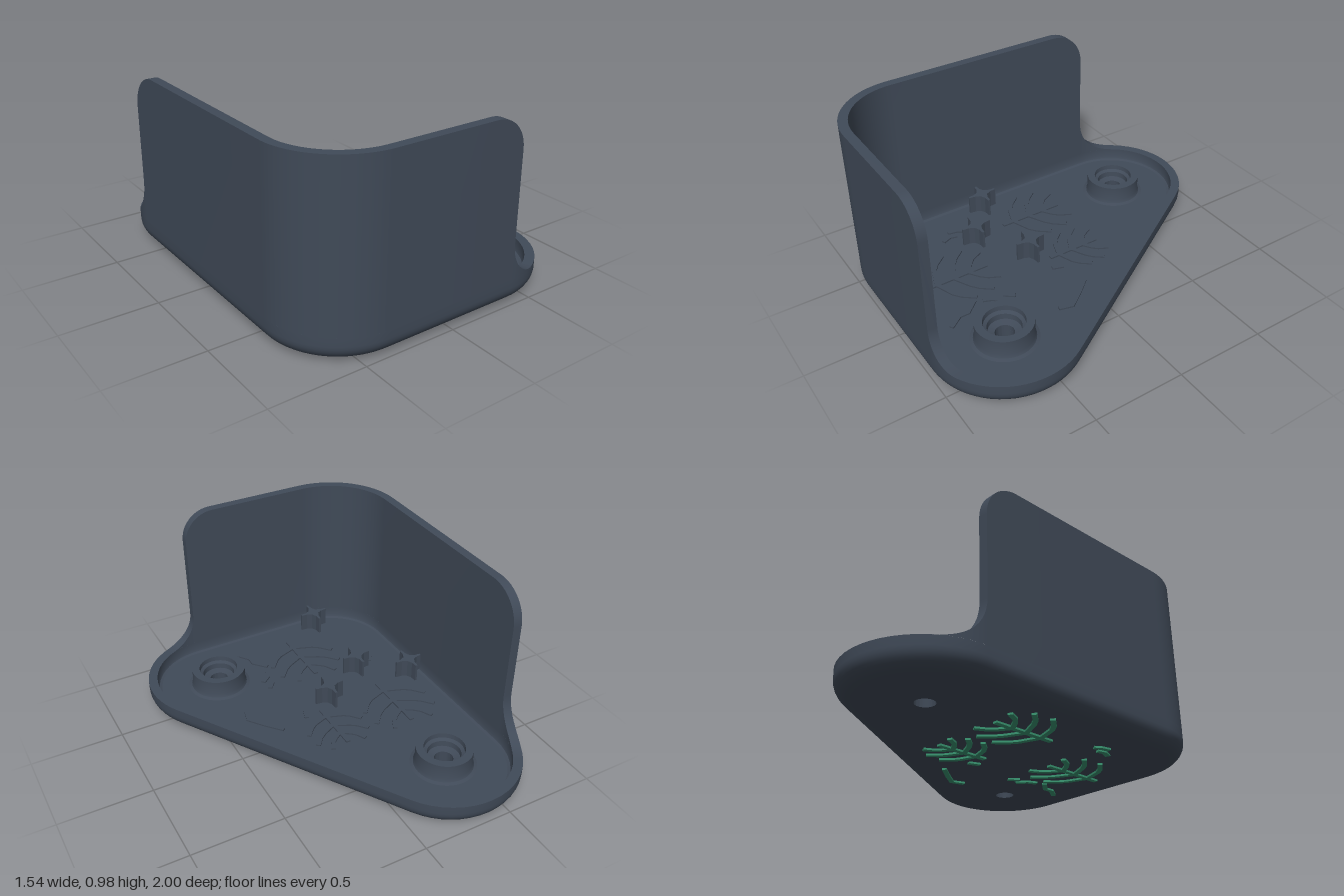
import * as THREE from 'three';
import { mergeGeometries, toCreasedNormals } from 'three/addons/utils/BufferGeometryUtils.js';

const PI = Math.PI;
const CENTRES = { back: [-0.37, -0.6], corner: [-0.37, 0.6], right: [0.37, 0.6] };
const R_OUT = 0.4, R_IN = 0.35;
const BOTTOM = 0.01, FLOOR = 0.07, RIM = 0.14, WALL_TOP = 0.98, BOSS_TOP = 0.175;

// Outline stations (centre + angle) around the three-cornered footprint
function outline() {
  const slant = Math.atan2(-0.74, 1.2), out = [], n = 20;
  const arc = (c, a, b) => {
    for (let i = 0; i <= n; i++) out.push({ cx: c[0], cz: c[1], a: a + (b - a) * i / n });
  };
  arc(CENTRES.right, slant, PI / 2);
  arc(CENTRES.corner, PI / 2, PI);
  arc(CENTRES.back, PI, 2 * PI + slant);
  return out;
}

const at = (s, r, y) => new THREE.Vector3(s.cx + r * Math.cos(s.a), y, s.cz + r * Math.sin(s.a));

// Skin a stack of rings; each ring follows the outline
function loft(rings, closed) {
  const pos = [], n = rings[0].length;
  const put = (...vs) => vs.forEach(v => pos.push(v.x, v.y, v.z));
  for (let j = 0; j < rings.length - 1; j++) {
    for (let i = 0; i < (closed ? n : n - 1); i++) {
      const k = (i + 1) % n;
      const a = rings[j][i], b = rings[j][k], c = rings[j + 1][i], d = rings[j + 1][k];
      put(a, c, b, b, c, d);
    }
  }
  const g = new THREE.BufferGeometry();
  g.setAttribute('position', new THREE.Float32BufferAttribute(pos, 3));
  return toCreasedNormals(g, 0.6);
}

// Flat plate with the two screw holes, facing up (1) or down (-1)
function plate(r, y, facing) {
  const shape = new THREE.Shape(outline().map(s => {
    const p = at(s, r, 0);
    return new THREE.Vector2(p.x, -facing * p.z);
  }));
  for (const [x, z] of [CENTRES.back, CENTRES.right]) {
    shape.holes.push(new THREE.Path().absarc(x, -facing * z, 0.05, 0, 2 * PI, true));
  }
  return new THREE.ShapeGeometry(shape, 16).rotateX(-facing * PI / 2).translate(0, y, 0);
}

// Wall height near a free end: d > 0 lies beyond the end, on the round corner
function endProfile(fillet, round) {
  const list = [], n = 12;
  for (let i = 0; i <= n; i++) {
    const t = i / n * PI / 2;
    list.push([fillet * (1 - Math.sin(t)), RIM + fillet * (1 - Math.cos(t))]);
  }
  for (let i = 0; i <= n; i++) {
    const t = i / n * PI / 2;
    list.push([-round * (1 - Math.cos(t)), WALL_TOP - round * (1 - Math.sin(t))]);
  }
  return list;
}

function wallGeometry() {
  const st = [];
  for (const [d, h] of endProfile(0.18, 0.17)) {
    st.push({ cx: 0.37 + Math.min(d, 0), cz: 0.6, a: PI / 2 - Math.asin(Math.max(d, 0) / R_OUT), h });
  }
  for (let i = 0; i <= 24; i++) st.push({ cx: -0.37, cz: 0.6, a: PI / 2 * (1 + i / 24), h: WALL_TOP });
  for (const [d, h] of endProfile(0.23, 0.19).reverse()) {
    st.push({ cx: -0.37, cz: -0.6 - Math.min(d, 0), a: PI + Math.asin(Math.max(d, 0) / R_OUT), h });
  }
  return loft([
    st.map(s => at(s, R_OUT, RIM)), st.map(s => at(s, R_OUT, s.h)),
    st.map(s => at(s, R_IN, s.h)), st.map(s => at(s, R_IN, RIM)),
  ], false);
}

function extrudeUp(points, y0, y1) {
  const shape = new THREE.Shape(points.map(p => new THREE.Vector2(p[0], p[1])));
  return new THREE.ExtrudeGeometry(shape, { depth: y1 - y0, bevelEnabled: false })
    .rotateX(PI / 2).translate(0, y1, 0);
}

// Bent twig of constant width along a short path in x, z
function twig(path, width, y0, y1) {
  const left = [], right = [];
  path.forEach((p, i) => {
    const a = path[Math.max(i - 1, 0)], b = path[Math.min(i + 1, path.length - 1)];
    const dx = b[0] - a[0], dz = b[1] - a[1], k = width / 2 / Math.hypot(dx, dz);
    left.push([p[0] - dz * k, p[1] + dx * k]);
    right.unshift([p[0] + dz * k, p[1] - dx * k]);
  });
  return extrudeUp([...left, ...right], y0, y1);
}

// All twig paths: three little trees and some loose sprigs
function twigPaths() {
  const paths = [
    [[0.35, 0.27], [0.37, 0.2], [0.31, 0.12], [0.235, 0.03]],
    [[0.17, 0.79], [0.12, 0.72], [0.12, 0.67], [0.06, 0.6]],
    [[0.08, 0.56], [0.1, 0.51], [0.15, 0.47]],
    [[0.1, 0.45], [0.14, 0.4]],
    [[0.08, 0.06], [0.06, 0.12]],
    [[-0.47, 0.5], [-0.49, 0.45], [-0.48, 0.41]],
    [[-0.53, 0.44], [-0.52, 0.39], [-0.5, 0.36]],
  ];
  const branches = [
    [[0, 0.1], [0.11, 0.06], [0.15, 0.03], [0.2, -0.03]],
    [[0, 0.0], [0.1, -0.05], [0.14, -0.08], [0.19, -0.14]],
    [[0, -0.09], [0.06, -0.13], [0.09, -0.16], [0.12, -0.22]],
  ];
  for (const [x, z, s] of [[-0.16, 0.6, 1], [-0.42, -0.03, 1], [-0.02, -0.06, 0.82]]) {
    const place = (p, m) => [x + m * s * p[0], z + s * p[1]];
    paths.push([place([0, 0.17], 1), place([0, -0.2], 1)]);
    for (const m of [-1, 1]) for (const b of branches) paths.push(b.map(p => place(p, m)));
  }
  return paths;
}

export function createModel() {
  const model = new THREE.Group();
  const slate = new THREE.MeshStandardMaterial({ color: 0x404a58 });
  slate.name = 'slate body';
  const green = new THREE.MeshStandardMaterial({ color: 0x3a9672 });
  green.name = 'green inlay';
  const add = (name, geo, mat = slate) => {
    const m = new THREE.Mesh(geo, mat);
    m.name = name;
    model.add(m);
    return m;
  };

  // Tray: rounded underside edge, upright rim and a small fillet to the floor
  const profile = [];
  for (let i = 0; i <= 8; i++) {
    const t = i / 8 * PI / 2;
    profile.push([0.315 + 0.085 * Math.sin(t), BOTTOM + 0.085 * (1 - Math.cos(t))]);
  }
  profile.push([R_OUT, RIM], [R_IN, RIM], [R_IN, 0.09], [0.344, 0.076], [0.33, FLOOR]);
  const stations = outline();
  add('trayRim', loft(profile.map(([r, y]) => stations.map(s => at(s, r, y))), true));
  add('trayFloor', plate(0.33, FLOOR, 1));
  add('trayUnderside', plate(0.315, BOTTOM, -1));

  // Tall wall around the left and front sides
  add('wall', wallGeometry());

  // Screw bosses with stepped countersink and through hole
  const bossProfile = [
    [0.175, FLOOR], [0.158, 0.077], [0.15, 0.095], [0.15, BOSS_TOP], [0.108, BOSS_TOP],
    [0.105, 0.15], [0.088, 0.14], [0.085, 0.11], [0.05, 0.1], [0.05, BOTTOM],
  ].map(p => new THREE.Vector2(...p));
  for (const [x, z] of [CENTRES.back, CENTRES.right]) {
    const g = toCreasedNormals(new THREE.LatheGeometry(bossProfile, 48), 0.6);
    add('screwBoss', g).position.set(x, 0, z);
  }

  // Four-armed star posts
  const star = [];
  for (let q = 0; q < 4; q++) {
    const c = Math.cos(q * PI / 2), s = Math.sin(q * PI / 2);
    for (const [x, z] of [[0.085, -0.006], [0.085, 0.006], [0.05, 0.009], [0.022, 0.022], [0.009, 0.05]]) {
      star.push([x * c - z * s, x * s + z * c]);
    }
  }
  for (const [x, z] of [[-0.64, 0.15], [-0.11, 0.15], [-0.39, 0.33], [-0.39, 0.86]]) {
    add('starPost', extrudeUp(star, FLOOR, BOSS_TOP)).position.set(x, 0, z);
  }

  // Twig pattern: green inlay underneath, low ribs on the floor
  const paths = twigPaths();
  add('twigInlay', mergeGeometries(paths.map(p => twig(p, 0.026, 0, 0.012))), green);
  add('twigRibs', mergeGeometries(paths.map(p => twig(p, 0.024, FLOOR - 0.005, FLOOR + 0.008))));

  return model;
}
